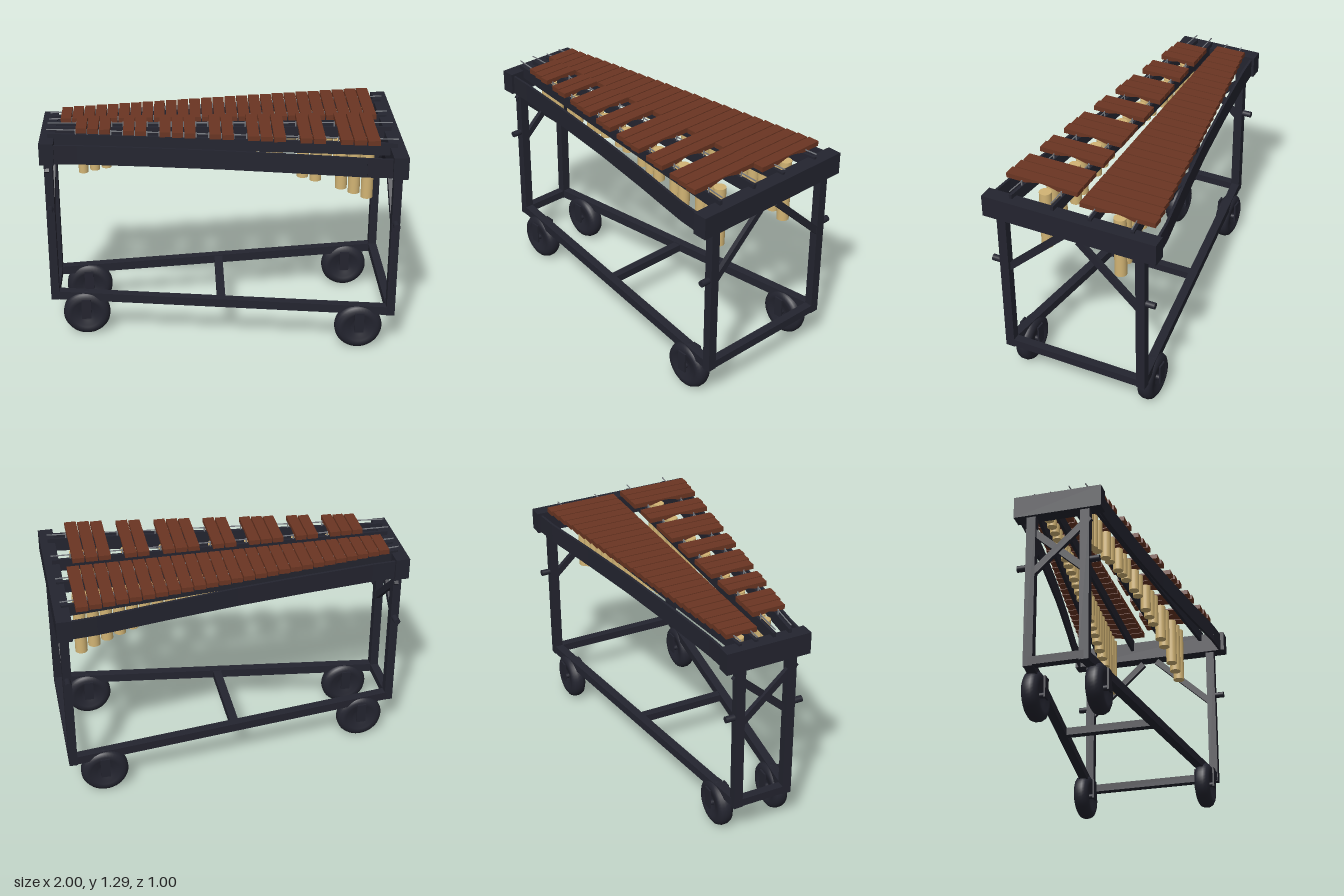
import * as THREE from 'three';

export function createModel() {
  const group = new THREE.Group();
  const mat = (name, color) => Object.assign(new THREE.MeshStandardMaterial({ color }), { name });
  const frameMat = mat('dark frame', 0x23242f);
  const woodMat = mat('rosewood', 0x6a3522);
  const brassMat = mat('brass', 0xd2b474);
  const cordMat = mat('grey cord', 0x777a80);

  const add = (name, geo, material, x = 0, y = 0, z = 0) => {
    const m = new THREE.Mesh(geo, material);
    m.name = name;
    m.position.set(x, y, z);
    group.add(m);
    return m;
  };
  const box = (name, w, h, d, x, y, z) => add(name, new THREE.BoxGeometry(w, h, d), frameMat, x, y, z);
  // Square-section beam from point a to point b
  const beam = (name, a, b, w, h, material = frameMat) => {
    const p = new THREE.Vector3(...a), q = new THREE.Vector3(...b);
    const m = add(name, new THREE.BoxGeometry(w, h, p.distanceTo(q)), material);
    m.position.copy(p).add(q).multiplyScalar(0.5);
    m.lookAt(q);
    return m;
  };

  // End boards, legs, braces and knobs: narrow end at -x, wide end at +x
  const ends = [
    { x: -0.96, boardWidth: 0.08, boardDepth: 0.49, legZ: 0.15, braceTop: [-0.176, 1.05] },
    { x: 0.957, boardWidth: 0.083, boardDepth: 1.0, legZ: 0.402, braceTop: [0.047, 1.085] },
  ];
  for (const e of ends) {
    box('endBoard', e.boardWidth, 0.125, e.boardDepth, e.x, 1.1625, 0);
    box('baseEndRail', 0.048, 0.046, e.legZ * 2, e.x, 0.248, 0);
    for (const s of [-1, 1]) {
      box('leg', 0.047, 0.88, 0.052, e.x, 0.66, s * e.legZ);
      const bx = e.x - Math.sign(e.x) * s * 0.008;
      beam('brace', [bx, 0.752, s * e.legZ], [bx, e.braceTop[1], s * e.braceTop[0]], 0.025, 0.038);
      add('knob', new THREE.CylinderGeometry(0.018, 0.018, 0.08, 16).rotateX(Math.PI / 2),
        frameMat, e.x, 0.803, s * (e.legZ + 0.038));
    }
  }

  // Lower frame
  for (const s of [-1, 1]) beam('baseSideRail', [-0.96, 0.247, s * 0.15], [0.957, 0.247, s * 0.402], 0.05, 0.05);
  box('baseCrossbar', 0.048, 0.044, 0.54, 0, 0.247, 0);

  // Casters
  const tyre = [[0, -0.024], [0.04, -0.024], [0.045, -0.034], [0.075, -0.034], [0.085, -0.044], [0.108, -0.043],
    [0.126, -0.032], [0.135, -0.013]];
  const profile = [...tyre, ...tyre.map(([r, y]) => [r, -y]).reverse()].map(p => new THREE.Vector2(...p));
  const wheelGeo = new THREE.LatheGeometry(profile, 40).rotateX(Math.PI / 2);
  for (const [x, z] of [[-0.78, 0.172], [0.78, 0.38]]) {
    for (const s of [-1, 1]) {
      add('wheel', wheelGeo, frameMat, x, 0.138, s * z);
      add('axle', new THREE.CylinderGeometry(0.015, 0.015, 0.112, 16).rotateX(Math.PI / 2), frameMat, x, 0.138, s * z);
      for (const t of [-1, 1]) box('casterFork', 0.054, 0.12, 0.01, x, 0.18, s * z + t * 0.056);
    }
  }

  // Curved outer side panels
  const sidePath = [[-0.93, 0.222], [-0.79, 0.23], [-0.4, 0.273], [0, 0.325], [0.4, 0.39], [0.78, 0.458], [0.93, 0.473]];
  for (const s of [-1, 1]) {
    for (let i = 0; i < sidePath.length - 1; i++) {
      const [x0, z0] = sidePath[i], [x1, z1] = sidePath[i + 1];
      beam('sidePanel', [x0, 1.155, s * z0], [x1, 1.155, s * z1], 0.014, 0.11);
    }
  }

  // Bar support rails with cords above; lower row at the back, raised row in front
  const railZ = [[0.052, 0.108], [0.145, 0.35]];
  const rows = [{ s: -1, top: 1.237, cord: 1.256 }, { s: 1, top: 1.25, cord: 1.273 }];
  for (const { s, top, cord } of rows) {
    for (const [za, zb] of railZ) {
      beam('barRail', [-0.955, top - 0.035, s * za], [0.955, top - 0.035, s * zb], 0.018, 0.07);
      beam('cord', [-0.96, cord, s * za], [0.96, cord, s * zb], 0.005, 0.005, cordMat);
    }
  }

  // Position and pitch of key i (0 = lowest, fractions for raised keys)
  const LAST = 25;
  const keyX = i => 0.853 - 0.0733 * i + 0.000185 * i * i;
  const pitch = i => 0.0733 - 0.00037 * i;

  // Bar with a hollowed underside, running from z0 to z1
  const addBar = (name, i, z0, z1, top) => {
    const L = z1 - z0, t = 0.028, w = pitch(i) - 0.007;
    const mid = 0.008 + 0.012 * i / LAST;
    const shape = new THREE.Shape([[0, 0], [0, -t], [0.27 * L, -t], [0.42 * L, -mid - 0.004], [0.5 * L, -mid],
      [0.58 * L, -mid - 0.004], [0.73 * L, -t], [L, -t], [L, 0]].map(p => new THREE.Vector2(...p)));
    const geo = new THREE.ExtrudeGeometry(shape, { depth: w, bevelEnabled: false });
    geo.translate(0, 0, -w / 2).rotateY(-Math.PI / 2);
    add(name, geo, woodMat, keyX(i), top, z0);
  };
  const addTube = (i, z, bottom) => {
    const r = 0.034 - 0.007 * i / LAST, top = 1.22;
    add('resonator', new THREE.CylinderGeometry(r, r, top - bottom, 20), brassMat, keyX(i), (top + bottom) / 2, z);
  };
  const addPins = (i, s, y) => {
    const x = keyX(i);
    for (const [za, zb] of railZ) {
      const z = za + (zb - za) * (x + 0.955) / 1.91;
      add('cordPin', new THREE.CylinderGeometry(0.004, 0.004, 0.035, 8), cordMat, x, y, s * z);
    }
  };
  const tubeBottom = i => 1.22 - 0.36 * Math.pow(2, -i / 8);

  // Natural keys
  for (let i = 0; i <= LAST; i++) {
    const back = -0.445 + 0.25 * i / LAST;
    addBar('naturalBar', i, back, -0.017, 1.271);
    addTube(i, (back - 0.017) / 2, tubeBottom(i));
    if (i < LAST) addPins(i + 0.5, -1, 1.245);
  }

  // Raised keys in groups of three and two; tubes lengthen again at the high end
  for (let n = 0; n < LAST; n++) {
    if (n % 7 === 3 || n % 7 === 6) continue;
    const i = n + 0.5, front = 0.437 - 0.25 * i / LAST;
    addBar('raisedBar', i, 0.012, front, 1.298);
    addTube(i, (front + 0.012) / 2, i < 14 ? Math.min(tubeBottom(i), 1.09) : 1.09 - 0.09 * ((i - 14) / 9.5) ** 2);
    addPins(n, 1, 1.262);
    addPins(n + 1, 1, 1.262);
  }
  return group;
}
